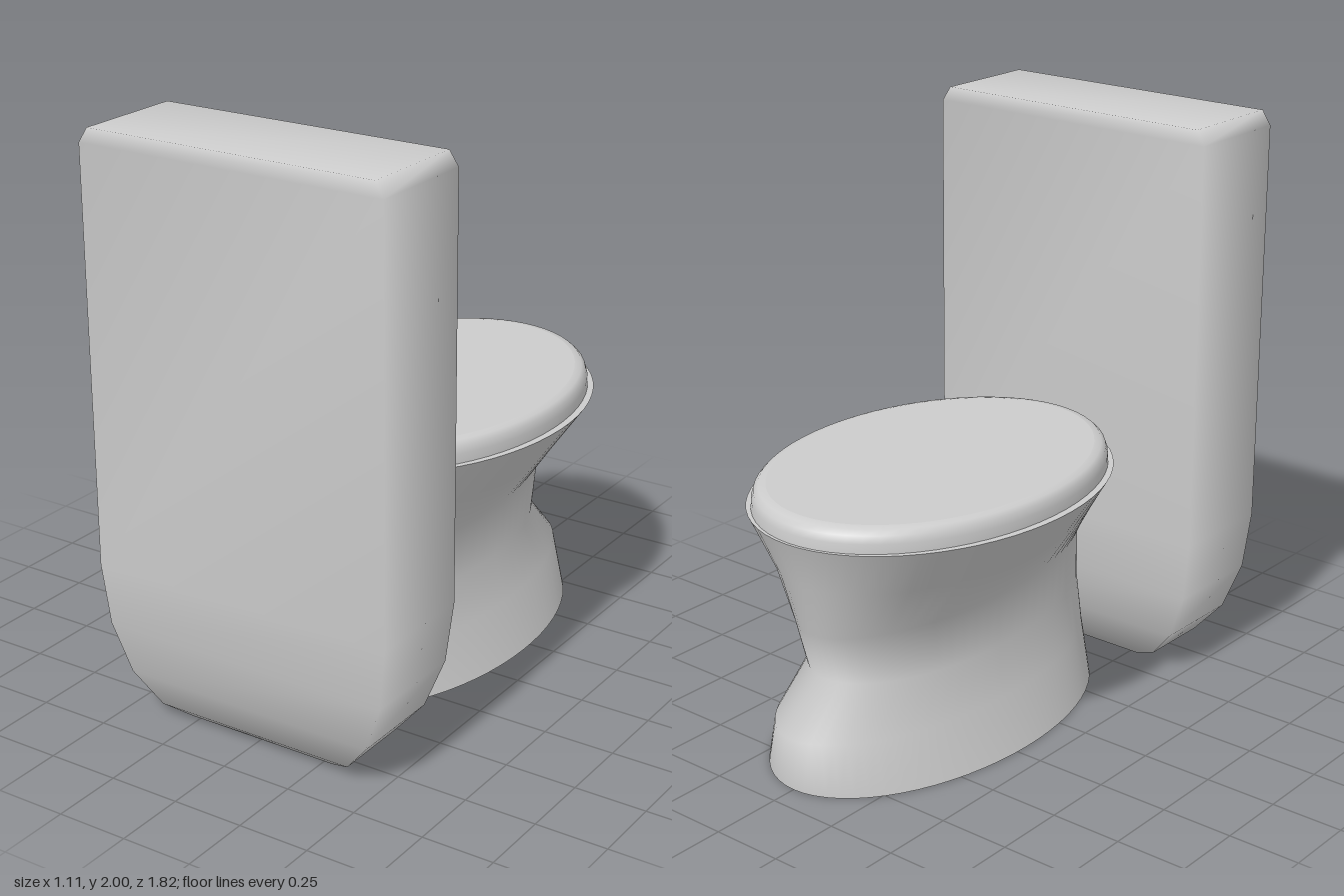
import * as THREE from 'three';

// Closed solid lofted through rings of [x, y, z] points, from bottom to top.
// sharpCaps gives the end caps their own vertices, so their rims stay crisp.
function loft(rings, sharpCaps) {
  const n = rings[0].length;
  const pos = rings.flat(2);
  const index = [];
  for (let i = 0; i < rings.length - 1; i++) {
    for (let j = 0; j < n; j++) {
      const k = (j + 1) % n;
      const a = i * n + j, b = i * n + k;
      index.push(a, a + n, b, b, a + n, b + n);
    }
  }
  const cap = (ring, first, top) => {
    if (sharpCaps) {
      first = pos.length / 3;
      pos.push(...ring.flat());
    }
    const c = pos.length / 3;
    pos.push(...[0, 1, 2].map(d => ring.reduce((s, p) => s + p[d], 0) / n));
    for (let j = 0; j < n; j++) {
      const a = first + j, b = first + (j + 1) % n;
      index.push(c, top ? b : a, top ? a : b);
    }
  };
  cap(rings[0], 0, false);
  cap(rings[rings.length - 1], (rings.length - 1) * n, true);
  const geo = new THREE.BufferGeometry();
  geo.setAttribute('position', new THREE.Float32BufferAttribute(pos, 3));
  geo.setIndex(index);
  geo.computeVertexNormals();
  return geo;
}

// Oval ring about z = -0.2 with separate extents toward +z and -z
function oval(y, a, front, rear, n = 64) {
  return Array.from({ length: n }, (_, j) => {
    const t = (j / n) * Math.PI * 2, s = Math.sin(t);
    return [a * Math.cos(t), y, -0.2 + s * (s > 0 ? front : rear)];
  });
}

// Rectangular ring
function rect(y, w, z0, z1) {
  return [[w, y, z0], [w, y, z1], [-w, y, z1], [-w, y, z0]];
}

export function createModel() {
  const ceramic = new THREE.MeshStandardMaterial({ color: 0xcccccc });
  ceramic.name = 'ceramic grey';
  const group = new THREE.Group();
  const add = (name, geo) => {
    const mesh = new THREE.Mesh(geo, ceramic);
    mesh.name = name;
    group.add(mesh);
  };

  // Tall tank tapering to a narrow foot: y, half width, z range
  add('tank', loft([
    [0, 0.28, 0.61, 0.80],
    [0.04, 0.37, 0.58, 0.845],
    [0.15, 0.465, 0.54, 0.88],
    [0.32, 0.53, 0.52, 0.9],
    [0.53, 0.555, 0.51, 0.91],
    [1.95, 0.555, 0.51, 0.91],
    [2, 0.525, 0.515, 0.905],
  ].map(r => rect(...r)), false));

  // Waisted bowl with a notch above the foot: y, half width, front, rear
  add('bowl', loft([
    [0, 0.405, 0.71, 0.71],
    [0.18, 0.335, 0.71, 0.71],
    [0.34, 0.285, 0.71, 0.555],
    [0.52, 0.28, 0.71, 0.615],
    [0.7, 0.41, 0.71, 0.645],
    [0.868, 0.53, 0.71, 0.71],
  ].map(r => oval(...r)), true));

  // Rounded oval lid: y, half width, front and rear
  add('lid', loft([
    [0.866, 0.505, 0.7],
    [0.9, 0.503, 0.698],
    [0.925, 0.495, 0.69],
    [0.94, 0.482, 0.672],
    [0.945, 0.46, 0.645],
  ].map(([y, a, b]) => oval(y, a, b, b)), true));

  return group;
}
